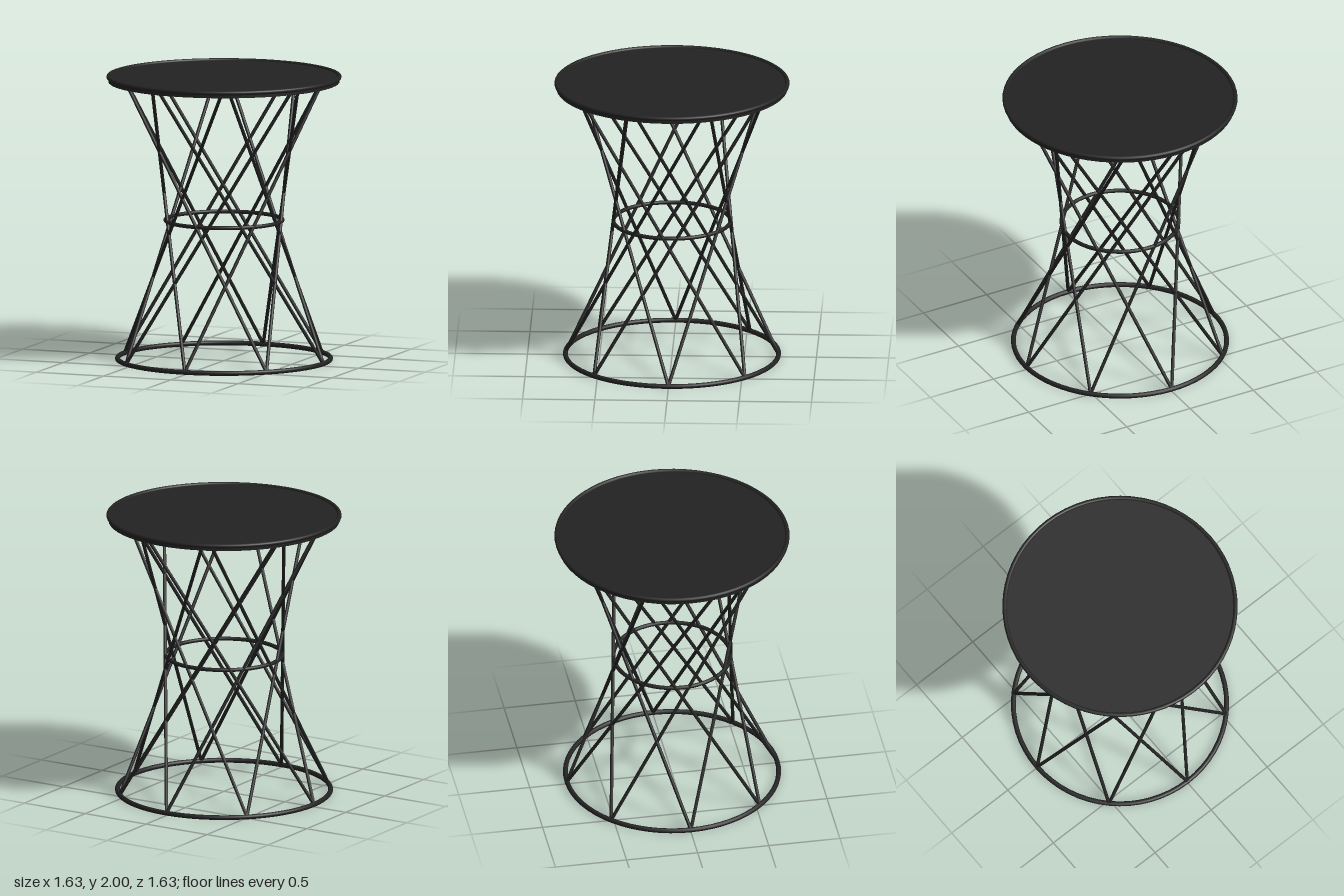
import * as THREE from 'three';

export function createModel() {
  const table = new THREE.Group();
  table.name = 'wireSideTable';
  const blackMetal = new THREE.MeshStandardMaterial({ color: 0x222222 });
  blackMetal.name = 'blackMetal';

  const add = (name, geometry, y = 0) => {
    const mesh = new THREE.Mesh(geometry, blackMetal);
    mesh.name = name;
    mesh.position.y = y;
    table.add(mesh);
    return mesh;
  };
  const ring = (name, radius, tube, y) =>
    add(name, new THREE.TorusGeometry(radius, tube, 12, 64).rotateX(Math.PI / 2), y);

  // Round top with a rolled rim
  add('tableTop', new THREE.CylinderGeometry(0.8, 0.8, 0.036, 64), 1.968);
  ring('topRim', 0.799, 0.015, 1.985);

  // Hoops that hold the rods
  ring('upperRing', 0.688, 0.015, 1.955);
  ring('middleRing', 0.405, 0.014, 0.985);
  ring('baseRing', 0.738, 0.017, 0.018);

  // Eight base points, each with two rods twisting opposite ways
  const twist = THREE.MathUtils.degToRad(110);
  const up = new THREE.Vector3(0, 1, 0);
  const onCircle = (radius, angle, y) =>
    new THREE.Vector3(radius * Math.cos(angle), y, radius * Math.sin(angle));
  for (let i = 0; i < 8; i++) {
    const angle = (i * Math.PI) / 4;
    for (const side of [-1, 1]) {
      const foot = onCircle(0.738, angle, 0.02);
      const head = onCircle(0.682, angle + side * twist, 1.955);
      const span = head.clone().sub(foot);
      const rod = add('rod', new THREE.CylinderGeometry(0.012, 0.012, span.length(), 10));
      rod.position.copy(foot).add(head).multiplyScalar(0.5);
      rod.quaternion.setFromUnitVectors(up, span.normalize());
    }
  }
  return table;
}
